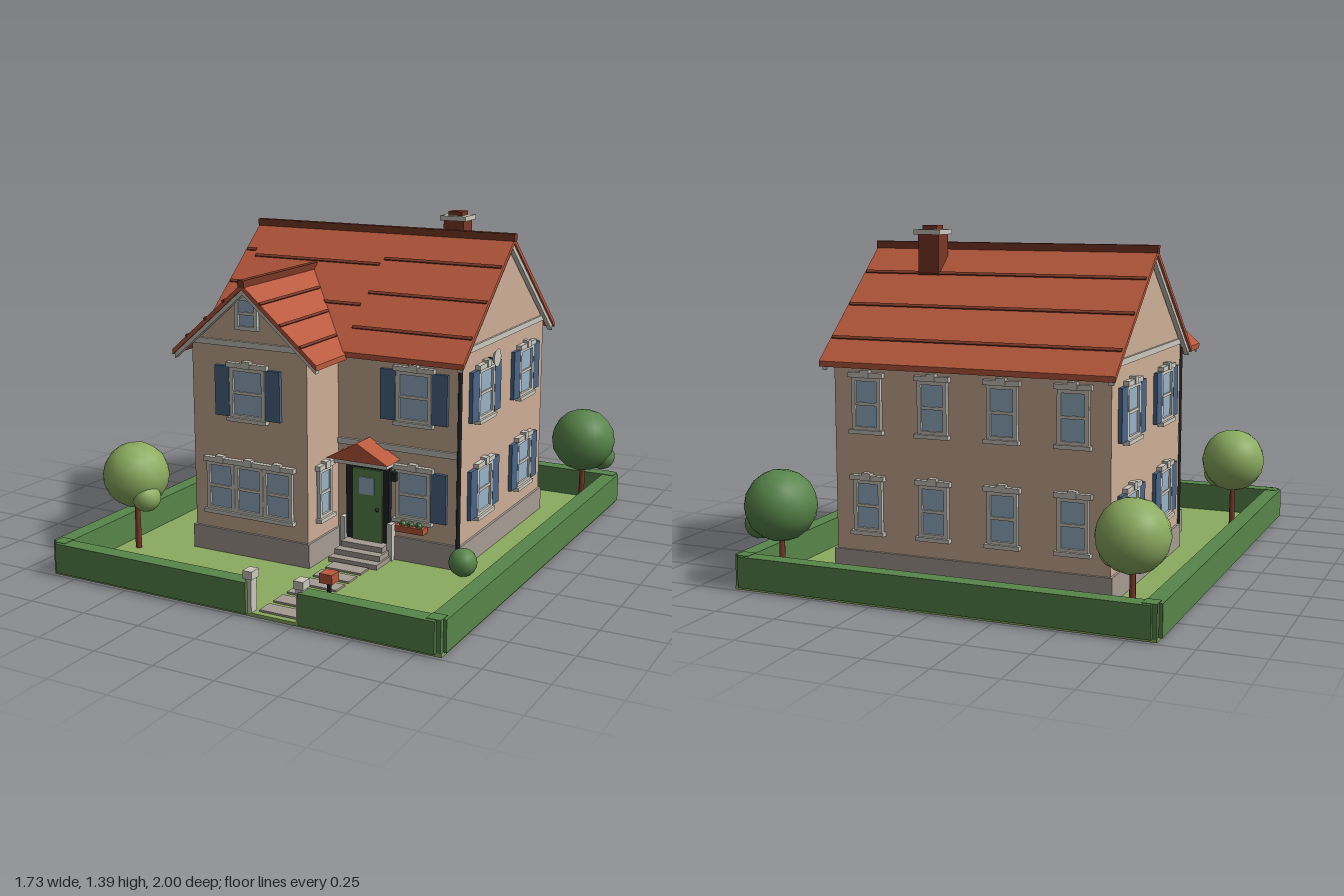
import * as THREE from 'three';

const mat = (name, color) => {
  const m = new THREE.MeshStandardMaterial({ color });
  m.name = name;
  return m;
};

export function createModel() {
  const grass = mat('light green', 0x8cac60), hedge = mat('dark green', 0x58854a),
    roof = mat('terracotta', 0xb9593d), brick = mat('brick brown', 0x7a3826),
    wall = mat('sand wall', 0xcdaf97), trim = mat('pale trim', 0xcbc7bd),
    stone = mat('stone grey', 0xa59b93), glass = mat('window glass', 0x98b2c8),
    blue = mat('shutter blue', 0x4a6686), dark = mat('near black', 0x212427);
  const model = new THREE.Group();
  model.name = 'house';

  const add = (parent, name, geometry, material, x = 0, y = 0, z = 0) => {
    const m = new THREE.Mesh(geometry, material);
    m.name = name;
    m.position.set(x, y, z);
    parent.add(m);
    return m;
  };
  // box given by its limits
  const box = (name, material, x0, x1, y0, y1, z0, z1, parent = model) =>
    add(parent, name, new THREE.BoxGeometry(x1 - x0, y1 - y0, z1 - z0), material,
      (x0 + x1) / 2, (y0 + y1) / 2, (z0 + z1) / 2);
  const extrude = (pts, depth) => new THREE.ExtrudeGeometry(
    new THREE.Shape(pts.map(p => new THREE.Vector2(...p))), { depth, bevelEnabled: false });
  // inverted V profile for roofs and bargeboards
  const chevron = (half, ridge, slope, t) => [[-half, ridge - half * slope - t], [0, ridge - t],
    [half, ridge - half * slope - t], [half, ridge - half * slope], [0, ridge], [-half, ridge - half * slope]];
  const gable = (half, y0, ridge, slope) => [[-half, y0], [half, y0], [half, ridge - half * slope],
    [0, ridge], [-half, ridge - half * slope]];
  // profile in z and y, swept along x
  const alongX = (name, material, pts, x0, x1, z) =>
    add(model, name, extrude(pts, x1 - x0).rotateY(-Math.PI / 2), material, x1, 0, z);
  const alongZ = (name, material, pts, x, z0, z1) =>
    add(model, name, extrude(pts, z1 - z0), material, x, 0, z0);

  // lawn, hedge and path
  box('lawn', grass, -0.858, 0.844, 0, 0.014, -0.985, 0.985);
  for (const [x0, x1] of [[-0.872, -0.805], [0.786, 0.853]])
    box('sideHedge', hedge, x0, x1, 0.012, 0.135, -0.965, 0.965);
  box('backHedge', hedge, -0.84, 0.822, 0.012, 0.135, -1, -0.935);
  box('frontHedgeRight', hedge, -0.84, 0.055, 0.012, 0.135, 0.935, 1);
  box('frontHedgeLeft', hedge, 0.278, 0.822, 0.012, 0.135, 0.935, 1);
  for (const x of [-0.83, 0.812]) for (const z of [-0.957, 0.957])
    box('hedgeCorner', hedge, x - 0.028, x + 0.028, 0.01, 0.137, z - 0.028, z + 0.028);
  for (const x of [0.058, 0.276]) {
    box('gatePost', trim, x - 0.013, x + 0.013, 0.01, 0.15, 0.945, 0.985);
    box('gatePostCap', trim, x - 0.02, x + 0.02, 0.145, 0.177, 0.94, 0.99);
  }
  for (let i = 0; i < 7; i++)
    box('pathStone', stone, 0.09, 0.25, 0.01, 0.022, 0.29 + i * 0.1, 0.36 + i * 0.1);

  // walls
  box('foundation', stone, -0.59, 0.58, 0.01, 0.115, -0.675, 0.235);
  box('wingFoundation', stone, -0.525, 0.033, 0.01, 0.115, 0.1, 0.49);
  const S = 0.851, W = 0.866, RZ = -0.22, RX = -0.246;
  alongX('mainWalls', wall, gable(0.445, 0.1, 1.285, S), -0.58, 0.57, RZ);
  alongZ('wingWalls', wall, gable(0.269, 0.1, 1.135, W), RX, 0.1, 0.48);
  box('beltCourseLeft', trim, 0.023, 0.572, 0.475, 0.5, 0.22, 0.235);
  box('beltCourseRight', trim, -0.582, -0.515, 0.475, 0.5, 0.22, 0.235);
  box('wingFrieze', trim, -0.515, 0.023, 0.893, 0.917, 0.475, 0.49);
  for (const x of [-0.58, 0.57]) {
    box('gableFrieze', trim, x - 0.009, x + 0.009, 0.893, 0.917, -0.66, 0.22);
    const pipe = new THREE.CylinderGeometry(0.009, 0.009, 0.77, 8);
    add(model, 'downspout', pipe, dark, x, 0.49, 0.234);
  }

  // main roof
  alongX('mainRoof', roof, chevron(0.507, 1.305, S, 0.022), -0.614, 0.603, RZ);
  for (const x of [-0.605, 0.575])
    alongX('mainBargeboard', trim, chevron(0.495, 1.285, S, 0.026), x, x + 0.02, RZ);
  box('mainRidgeCap', brick, -0.617, 0.606, 1.29, 1.322, RZ - 0.015, RZ + 0.015);
  const course = (x0, x1, z) => {
    const m = box('roofCourse', brick, x0, x1, 0, 0.01, -0.007, 0.007);
    m.position.y = 1.306 - Math.abs(z - RZ) * S;
    m.position.z = z;
    m.rotation.x = Math.sign(z - RZ) * Math.atan(S);
  };
  for (const d of [0.125, 0.268, 0.41]) {
    course(-0.606, 0.596, RZ - d);
    course(0.07, 0.596, RZ + d);
    course(-0.606, -0.562, RZ + d);
  }
  course(-0.55, 0.06, -0.07);
  course(-0.55, -0.34, 0.1);
  course(-0.15, 0.06, 0.1);

  // wing roof, its back edge drawn forward along the valleys
  const wingRoof = alongZ('wingRoof', roof, chevron(0.337, 1.155, W, 0.022), RX, -0.06, 0.525);
  const p = wingRoof.geometry.attributes.position;
  for (let i = 0; i < p.count; i++) if (p.getZ(i) < 0.1) p.setZ(i, Math.abs(p.getX(i)));
  wingRoof.geometry.computeVertexNormals();
  alongZ('wingBargeboard', trim, chevron(0.33, 1.138, W, 0.026), RX, 0.495, 0.518);
  box('wingRidgeCap', brick, RX - 0.014, RX + 0.014, 1.14, 1.17, -0.06, 0.528);
  for (const s of [-1, 1]) for (const d of [0.085, 0.175, 0.265]) {
    const m = box('wingRoofCourse', brick, -0.006, 0.006, 0, 0.01, d - 0.03, 0.526);
    m.position.x = RX + s * d;
    m.position.y = 1.156 - d * W;
    m.rotation.z = -s * Math.atan(W);
  }

  // chimney
  box('chimney', brick, 0.264, 0.354, 1.1, 1.357, -0.352, -0.262);
  box('chimneyCap', trim, 0.25, 0.366, 1.355, 1.375, -0.367, -0.253);
  box('chimneyPot', brick, 0.278, 0.34, 1.37, 1.392, -0.34, -0.278);

  // window facing +z around its own centre, then turned to its wall
  const addWindow = (x, z, turn, y0, y1, w, shutters = [], head = true) => {
    const g = new THREE.Group(), h = (y1 - y0) / 2, a = w / 2;
    g.name = 'window';
    g.position.set(x, (y0 + y1) / 2, z);
    g.rotation.y = turn;
    model.add(g);
    box('pane', glass, -a, a, -h, h, 0, 0.007, g);
    for (const s of [-1, 1]) {
      box('jamb', trim, s * (a - 0.008) - 0.008, s * (a - 0.008) + 0.008, -h, h, 0, 0.016, g);
      box('rail', trim, -a, a, s * (h - 0.008) - 0.008, s * (h - 0.008) + 0.008, 0, 0.016, g);
    }
    box('middleRail', trim, -a, a, -0.006, 0.006, 0, 0.013, g);
    if (head) {
      box('sill', trim, -a - 0.01, a + 0.01, -h - 0.012, -h + 0.004, 0, 0.026, g);
      box('lintel', trim, -a - 0.012, a + 0.012, h - 0.002, h + 0.018, 0, 0.022, g);
      box('keystone', trim, -0.018, 0.018, h - 0.002, h + 0.028, 0, 0.026, g);
    }
    for (const s of shutters)
      box('shutter', blue, s * (a + 0.036) - 0.034, s * (a + 0.036) + 0.034, -h + 0.005, h, 0, 0.016, g);
  };
  const both = [-1, 1], low = [0.195, 0.405], high = [0.6, 0.812];
  addWindow(RX, 0.48, 0, ...high, 0.165, both);
  addWindow(RX, 0.48, 0, 0.965, 1.1, 0.105, [], false);
  for (const d of [-0.136, 0, 0.136]) addWindow(RX + d, 0.48, 0, ...low, 0.134);
  addWindow(0.37, 0.225, 0, ...high, 0.155, both);
  addWindow(0.37, 0.225, 0, ...low, 0.155, [1]);
  addWindow(0.023, 0.355, Math.PI / 2, ...low, 0.105);
  for (const rows of [low, high]) {
    for (const z of [0, -0.442]) {
      addWindow(0.57, z, Math.PI / 2, ...rows, 0.155, both);
      addWindow(-0.58, z, -Math.PI / 2, ...rows, 0.155, both);
    }
    for (const x of [-0.435, -0.15, 0.14, 0.425]) addWindow(x, -0.665, Math.PI, ...rows, 0.125);
  }

  // door, canopy and steps
  box('doorSurround', dark, 0.07, 0.268, 0.075, 0.415, 0.22, 0.245);
  box('door', hedge, 0.104, 0.239, 0.08, 0.387, 0.23, 0.252);
  box('doorPane', glass, 0.135, 0.202, 0.28, 0.352, 0.25, 0.256);
  add(model, 'doorKnob', new THREE.SphereGeometry(0.008, 8, 6), dark, 0.219, 0.222, 0.257);
  box('doorHeader', trim, 0.05, 0.288, 0.415, 0.44, 0.22, 0.31);
  alongZ('canopy', roof, [[-0.14, 0.44], [0.14, 0.44], [0, 0.517]], 0.168, 0.225, 0.34);
  [0.08, 0.057, 0.034].forEach((y, i) =>
    box('step', stone, 0.075 - i * 0.008, 0.265 + i * 0.008, 0.01, y, 0.22, 0.3 + i * 0.04));
  for (const x of [0.06, 0.276]) box('stepCheek', trim, x - 0.012, x + 0.012, 0.01, 0.17, 0.225, 0.26);
  box('wallLamp', dark, 0.282, 0.303, 0.355, 0.392, 0.225, 0.26);

  // window box, letterbox and dish
  box('windowBox', roof, 0.305, 0.432, 0.15, 0.176, 0.225, 0.27);
  for (const x of [0.335, 0.37, 0.407])
    add(model, 'windowBoxPlant', new THREE.IcosahedronGeometry(0.017, 0), hedge, x, 0.18, 0.25);
  box('letterboxPost', dark, 0.352, 0.364, 0.01, 0.17, 0.9, 0.912);
  box('letterbox', roof, 0.332, 0.384, 0.163, 0.2, 0.878, 0.934);
  box('dishArm', dark, 0.565, 0.6, 0.83, 0.838, -0.049, -0.041);
  const dish = new THREE.CylinderGeometry(0.038, 0.022, 0.014, 12).rotateZ(-Math.PI / 2);
  add(model, 'dish', dish, trim, 0.603, 0.84, -0.045);

  // trees and bush with faceted crowns
  const crown = (name, r, material, x, y, z) =>
    add(model, name, new THREE.IcosahedronGeometry(r, 2), material, x, y, z);
  for (const [x, y, z, r, leaf] of [[-0.727, 0.333, 0.605, 0.138, grass],
    [-0.727, 0.333, -0.852, 0.138, grass], [0.717, 0.315, -0.845, 0.143, hedge]]) {
    add(model, 'trunk', new THREE.CylinderGeometry(0.01, 0.014, 0.26, 7), brick, x, 0.14, z);
    crown('treeCrown', r, leaf, x, y, z);
    crown('lowerCrown', 0.06, leaf, x + 0.082, y - 0.075, z + (leaf === grass ? 0.045 : -0.025));
  }
  crown('bush', 0.058, hedge, 0.607, 0.068, 0.265);
  return model;
}
